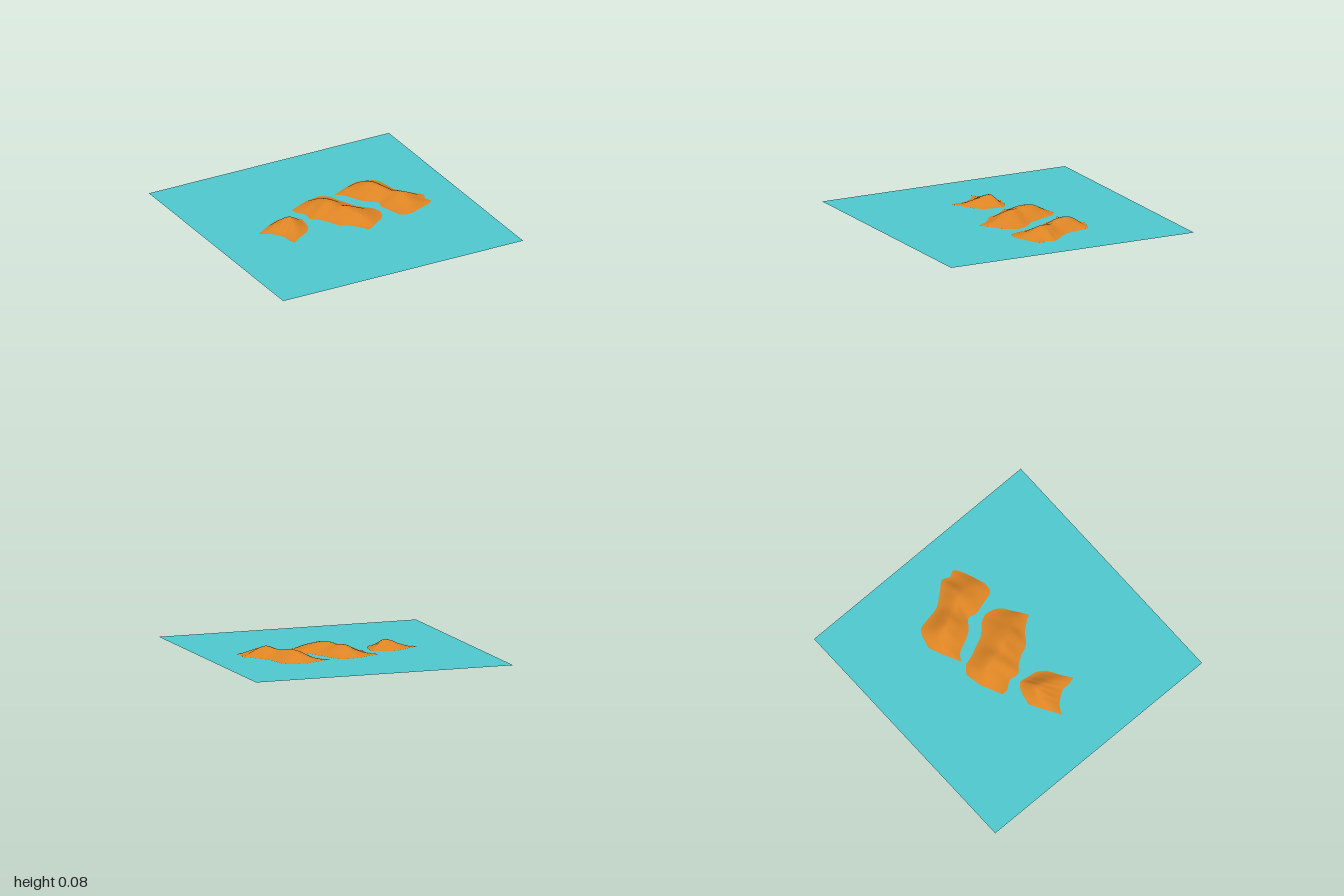
import * as THREE from 'three';

// Lofts a mound between a left shore, a raised crest and a right shore (back to front)
function mound(left, crest, right, rows, material, name) {
  const shore = (pts) => new THREE.CatmullRomCurve3(pts.map(([x, z]) => new THREE.Vector3(x, 0.003, z)));
  const l = shore(left), r = shore(right);
  const c = new THREE.CatmullRomCurve3(crest.map((p) => new THREE.Vector3(...p)));
  const half = 10, cols = half * 2;
  const pos = [], idx = [];
  for (let i = 0; i <= rows; i++) {
    const t = i / rows;
    const pl = l.getPoint(t), pc = c.getPoint(t), pr = r.getPoint(t);
    for (let j = 0; j <= cols; j++) {
      const side = j <= half ? pl : pr;
      const s = 1 - Math.abs(j - half) / half;
      const bell = 0.3 * s + 0.7 * s * s * (3 - 2 * s);
      const fold = 1 + 0.08 * (1 - s) * Math.sin(t * 38 + j * 0.2);
      pos.push(
        side.x + (pc.x - side.x) * s,
        0.003 + Math.max(0, pc.y) * bell * fold,
        side.z + (pc.z - side.z) * s
      );
      if (i < rows && j < cols) {
        const a = i * (cols + 1) + j, b = a + cols + 1;
        idx.push(a, b, a + 1, b, b + 1, a + 1);
      }
    }
  }
  const g = new THREE.BufferGeometry();
  g.setAttribute('position', new THREE.Float32BufferAttribute(pos, 3));
  g.setIndex(idx);
  g.computeVertexNormals();
  const mesh = new THREE.Mesh(g, material);
  mesh.name = name;
  return mesh;
}

export function createModel() {
  const group = new THREE.Group();
  group.name = 'islands';
  const water = new THREE.MeshStandardMaterial({ color: 0x4fc8ce, side: THREE.DoubleSide });
  water.name = 'water teal';
  const land = new THREE.MeshStandardMaterial({ color: 0xdc8424, side: THREE.DoubleSide });
  land.name = 'land orange';

  // Flat sheet of water
  const sea = new THREE.Mesh(new THREE.PlaneGeometry(2, 2).rotateX(-Math.PI / 2), water);
  sea.name = 'sea';
  group.add(sea);

  // Small island
  group.add(mound(
    [[-0.63, -0.03], [-0.57, 0], [-0.53, 0.04], [-0.49, 0.1], [-0.485, 0.16], [-0.47, 0.22]],
    [[-0.5, 0, -0.11], [-0.42, 0.045, -0.08], [-0.37, 0.07, -0.045], [-0.365, 0.06, 0], [-0.38, 0.03, 0.08], [-0.4, 0, 0.17]],
    [[-0.41, -0.16], [-0.29, -0.13], [-0.24, -0.09], [-0.245, -0.03], [-0.26, 0.05], [-0.3, 0.11]],
    40, land, 'smallIsland'));

  // Large middle island
  group.add(mound(
    [[-0.23, -0.25], [-0.22, -0.2], [-0.18, -0.14], [-0.18, -0.06], [-0.13, -0.01],
      [-0.09, 0.05], [-0.05, 0.13], [0.03, 0.19], [0.08, 0.25], [0.11, 0.3]],
    [[-0.07, 0, -0.325], [-0.04, 0.03, -0.27], [-0.01, 0.06, -0.21], [0.01, 0.072, -0.13], [0.03, 0.062, -0.06],
      [0.07, 0.074, 0.01], [0.1, 0.06, 0.09], [0.14, 0.04, 0.15], [0.16, 0.018, 0.22], [0.17, 0, 0.26]],
    [[0.06, -0.35], [0.12, -0.3], [0.14, -0.24], [0.18, -0.15], [0.22, -0.07],
      [0.29, 0], [0.32, 0.06], [0.31, 0.13], [0.27, 0.19], [0.23, 0.215]],
    70, land, 'middleIsland'));

  // Twin-peaked island
  group.add(mound(
    [[0.16, -0.31], [0.21, -0.28], [0.25, -0.21], [0.28, -0.15], [0.32, -0.1], [0.38, -0.05],
      [0.37, 0.02], [0.39, 0.09], [0.41, 0.16], [0.43, 0.205], [0.5, 0.22]],
    [[0.29, 0, -0.375], [0.38, 0.045, -0.33], [0.42, 0.074, -0.25], [0.44, 0.072, -0.18], [0.48, 0.056, -0.11], [0.52, 0.064, -0.05],
      [0.54, 0.071, 0], [0.55, 0.055, 0.06], [0.56, 0.03, 0.13], [0.56, 0.012, 0.175], [0.57, 0, 0.195]],
    [[0.4, -0.42], [0.54, -0.37], [0.57, -0.27], [0.59, -0.18], [0.63, -0.12], [0.69, -0.05],
      [0.73, 0], [0.71, 0.06], [0.73, 0.11], [0.7, 0.14], [0.61, 0.18]],
    80, land, 'twinPeakIsland'));

  return group;
}
